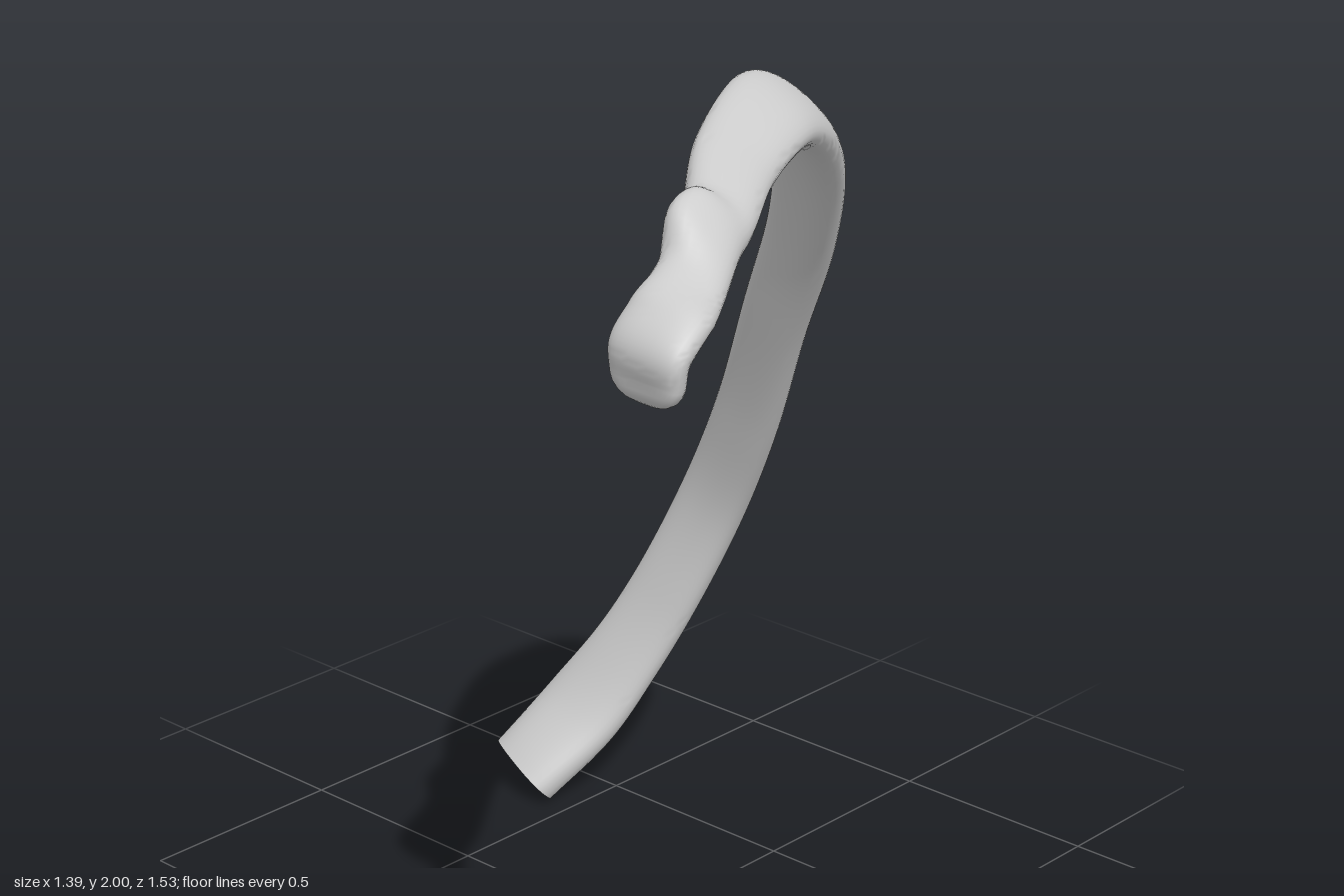
import * as THREE from 'three';
import { toCreasedNormals } from 'three/addons/utils/BufferGeometryUtils.js';

// Stations from head to front end: centre, direction across the band, half width, half thickness
const STATIONS = [
  [[-0.66, 1.625, 0.675], [0, 0, 1], 0.084, 0.036],
  [[-0.66, 1.68, 0.677], [0, -0.1, 1], 0.09, 0.04],
  [[-0.61, 1.728, 0.673], [0, -0.2, 0.98], 0.086, 0.038],
  [[-0.54, 1.755, 0.65], [0, -0.4, 0.92], 0.074, 0.04],
  [[-0.45, 1.795, 0.612], [0, -0.5, 0.87], 0.067, 0.046],
  [[-0.35, 1.838, 0.562], [0, -0.5, 0.87], 0.072, 0.045],
  [[-0.2, 1.895, 0.468], [0, -0.48, 0.88], 0.086, 0.04],
  [[0.03, 1.932, 0.367], [0, -0.48, 0.88], 0.1, 0.042],
  [[0.18, 1.874, 0.3], [0, -0.48, 0.88], 0.1, 0.044],
  [[0.325, 1.748, 0.212], [0, -0.48, 0.88], 0.097, 0.045],
  [[0.458, 1.528, 0.083], [0, -0.48, 0.88], 0.09, 0.045],
  [[0.547, 1.275, -0.065], [0, -0.48, 0.88], 0.086, 0.045],
  [[0.623, 0.985, -0.21], [0, -0.48, 0.88], 0.087, 0.044],
  [[0.652, 0.74, -0.335], [0, -0.48, 0.88], 0.089, 0.045],
  [[0.605, 0.5, -0.437], [0, -0.47, 0.88], 0.091, 0.042],
  [[0.545, 0.335, -0.51], [-0.05, -0.42, 0.9], 0.098, 0.042],
  [[0.468, 0.185, -0.585], [-0.15, -0.3, 0.95], 0.114, 0.05],
  [[0.345, 0.048, -0.657], [-0.25, -0.15, 0.95], 0.114, 0.056],
];
const SIDES = 32, STEPS = 160;

const curveOf = (pick, type) =>
  new THREE.CatmullRomCurve3(STATIONS.map((s) => new THREE.Vector3(...pick(s))), false, type);
const path = curveOf((s) => s[0], 'centripetal');
const across = curveOf((s) => s[1], 'catmullrom');
const size = curveOf((s) => [s[2], s[3], 0], 'catmullrom');

const soften = (v) => Math.sign(v) * Math.abs(v) ** 0.85;

// Raised knob on the back of the neck
const KNOB = new THREE.Vector3(-0.44, 1.85, 0.585);
function raiseKnob(p) {
  const d = p.clone().sub(KNOB);
  const g = Math.exp(-((d.x / 0.072) ** 4) - (d.y ** 2 + d.z ** 2) / 0.004);
  return p.add(new THREE.Vector3(-0.008, 0.046, -0.018).multiplyScalar(g));
}

// One closed cross-section, scaled and pushed along the path for the end caps
function addRing(out, t, scale = 1, push = 0) {
  const T = path.getTangent(t);
  const W = across.getPoint(t);
  W.addScaledVector(T, -W.dot(T)).normalize();
  const N = new THREE.Vector3().crossVectors(T, W);
  const C = path.getPoint(t).addScaledVector(T, push);
  const s = size.getPoint(t);
  for (let j = 0; j < SIDES; j++) {
    const a = (j / SIDES) * Math.PI * 2;
    const p = C.clone()
      .addScaledVector(W, soften(Math.cos(a)) * s.x * scale)
      .addScaledVector(N, soften(Math.sin(a)) * s.y * scale);
    // Shallow saddle between the two lobes of the head
    if (t < 0.12) p.addScaledVector(N, -0.008 * Math.cos(a * 2) * (1 - t / 0.12) * scale);
    raiseKnob(p);
    out.push(p.x, p.y, p.z);
  }
}

function ribGeometry() {
  const pos = [], index = [];
  // Rounded head, body, then a slightly hollow cut at the front end
  const headCap = [[0.001, -0.046], [0.35, -0.044], [0.6, -0.038], [0.8, -0.028], [0.93, -0.015]];
  for (const [k, push] of headCap) addRing(pos, 0, k, push);
  for (let i = 0; i <= STEPS; i++) addRing(pos, i / STEPS);
  for (const [k, push] of [[0.9, -0.002], [0.5, -0.01], [0.001, -0.014]]) addRing(pos, 1, k, push);

  const rings = pos.length / 3 / SIDES;
  for (let i = 0; i < rings - 1; i++) {
    for (let j = 0; j < SIDES; j++) {
      const n = (j + 1) % SIDES;
      const a = i * SIDES + j, b = i * SIDES + n;
      const c = a + SIDES, d = b + SIDES;
      index.push(a, b, d, a, d, c);
    }
  }
  const geo = new THREE.BufferGeometry();
  geo.setAttribute('position', new THREE.Float32BufferAttribute(pos, 3));
  geo.setIndex(index);
  return toCreasedNormals(geo, 1.0);
}

export function createModel() {
  const group = new THREE.Group();
  group.name = 'ribBone';
  const rib = new THREE.Mesh(ribGeometry(), new THREE.MeshStandardMaterial({ color: 0xcccccc }));
  rib.name = 'rib';
  group.add(rib);
  return group;
}
